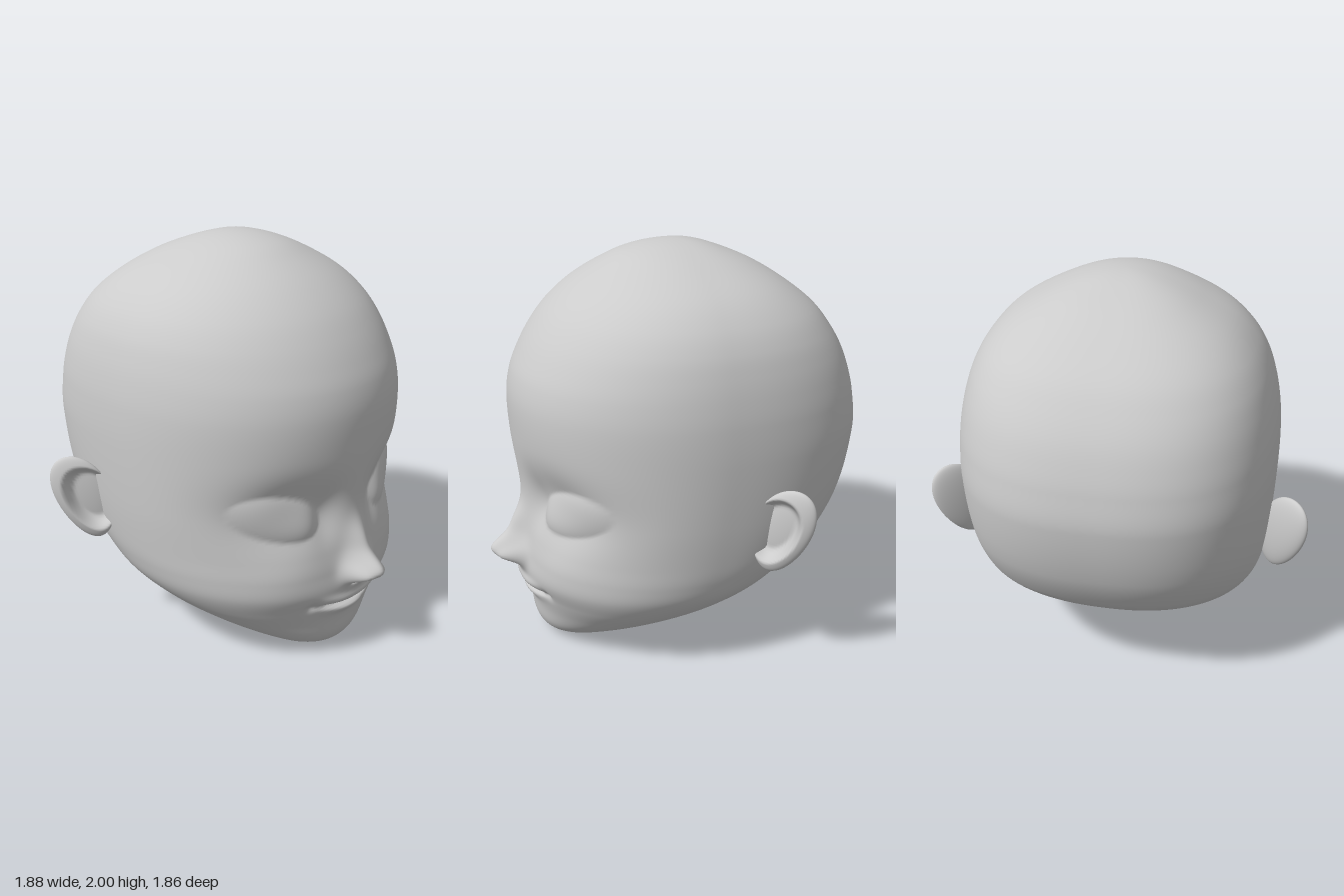
import * as THREE from 'three';
import { mergeVertices } from 'three/addons/utils/BufferGeometryUtils.js';

const material = new THREE.MeshStandardMaterial({ color: 0xcccccc });

// Skull sections: height, half width, front z, back z, z of the widest point
const SECTIONS = [
  [0, 0, 0.57, 0.57, 0.57],
  [0.02, 0.14, 0.65, 0.375, 0.53],
  [0.05, 0.23, 0.69, 0.19, 0.48],
  [0.1, 0.33, 0.715, 0, 0.4],
  [0.2, 0.49, 0.73, -0.25, 0.25],
  [0.3, 0.61, 0.755, -0.42, 0.15],
  [0.4, 0.69, 0.785, -0.55, 0.07],
  [0.5, 0.725, 0.775, -0.67, 0.03],
  [0.6, 0.742, 0.765, -0.765, 0],
  [0.8, 0.76, 0.768, -0.87, -0.02],
  [1.1, 0.77, 0.787, -0.93, -0.05],
  [1.28, 0.764, 0.79, -0.912, -0.05],
  [1.4, 0.748, 0.768, -0.88, -0.05],
  [1.5, 0.725, 0.725, -0.84, -0.05],
  [1.6, 0.69, 0.667, -0.78, -0.05],
  [1.7, 0.63, 0.59, -0.7, -0.05],
  [1.8, 0.53, 0.48, -0.575, -0.05],
  [1.9, 0.36, 0.325, -0.41, -0.05],
  [1.96, 0.22, 0.2, -0.26, -0.05],
  [2, 0, -0.05, -0.05, -0.05],
];

// Heights become angles, so both poles close round
const angle = (y) => Math.acos(THREE.MathUtils.clamp(1 - y, -1, 1));
const KEYS = SECTIONS.map((s) => angle(s[0]));

// Smooth (Hermite) interpolation of one column of the table
function sample(t, col) {
  const last = KEYS.length - 1;
  let i = 0;
  while (i < last - 1 && t > KEYS[i + 1]) i++;
  const value = (k) => SECTIONS[k][col];
  const slope = (k) => {
    const a = Math.max(k - 1, 0), b = Math.min(k + 1, last);
    return (value(b) - value(a)) / (KEYS[b] - KEYS[a]);
  };
  const h = KEYS[i + 1] - KEYS[i];
  const s = (t - KEYS[i]) / h, s2 = s * s, s3 = s2 * s;
  return value(i) * (2 * s3 - 3 * s2 + 1) + slope(i) * h * (s3 - 2 * s2 + s)
    + value(i + 1) * (3 * s2 - 2 * s3) + slope(i + 1) * h * (s3 - s2);
}

// Forward offset of the face at (x, y)
function faceRelief(x, y) {
  const ax = Math.sqrt(x * x + 0.0003);
  const bump = (cx, cy, sx, sy) => Math.exp(-(((ax - cx) / sx) ** 2) - ((y - cy) / sy) ** 2);
  const line = (offset, width) => Math.exp(-((offset / width) ** 2));

  // eye sockets with closed, slightly slanted lids
  let d = -0.08 * bump(0.36, 0.83, 0.23, 0.16) - 0.03 * bump(0.17, 0.78, 0.07, 0.13);
  const ex = ax - 0.385, ey = y - 0.81 - 0.22 * ex;
  d += 0.05 * Math.max(0, 1 - (ex / 0.2) ** 2 - (ey / 0.115) ** 2);

  // cheeks
  d += 0.02 * bump(0.4, 0.52, 0.18, 0.14);

  // nose: tip, bridge, wings, nostrils
  d += 0.147 * bump(0, 0.5, 0.075, 0.075) + 0.06 * bump(0, 0.62, 0.06, 0.1);
  d += 0.06 * bump(0.075, 0.475, 0.04, 0.045) - 0.06 * bump(0.05, 0.432, 0.022, 0.018);

  // mouth: upper lip, crease, lower lip, corners
  const my = y - 0.29 - 0.03 * (x / 0.24) ** 2;
  const span = Math.exp(-((x / 0.21) ** 4));
  d += 0.025 * line(my - 0.04, 0.03) * span - 0.04 * line(my, 0.014) * span;
  d += 0.022 * line(my + 0.035, 0.025) * line(x, 0.13);
  d -= 0.012 * bump(0.25, 0.325, 0.03, 0.03);
  return d;
}

function headGeometry() {
  const rings = 240, segs = 200, pos = [], index = [];
  for (let i = 0; i <= rings; i++) {
    const t = (i / rings) * Math.PI, y = 1 - Math.cos(t);
    const [w, front, back, mid] = [1, 2, 3, 4].map((col) => sample(t, col));
    const backPower = 2.2 + 0.4 * THREE.MathUtils.smoothstep(y, 0.2, 0.9);
    for (let j = 0; j < segs; j++) {
      // vertices crowd towards the face
      const u = (j / segs) * Math.PI * 2, a = u - 0.65 * Math.sin(u);
      const s = Math.sin(a), c = Math.cos(a);
      const n = c > 0 ? 2.05 : backPower;
      const r = (Math.abs(s) ** n + Math.abs(c) ** n) ** (-1 / n);
      const x = w * s * r;
      let z = mid + (c > 0 ? front - mid : mid - back) * c * r;
      if (c > 0) z += faceRelief(x, y) * THREE.MathUtils.smoothstep(z, 0.1, 0.4);
      pos.push(x, y, z);
      if (i < rings) {
        const k = (j + 1) % segs, p = i * segs + j, q = i * segs + k;
        index.push(p, q, q + segs, p, q + segs, p + segs);
      }
    }
  }
  let geo = new THREE.BufferGeometry();
  geo.setAttribute('position', new THREE.Float32BufferAttribute(pos, 3));
  geo.setIndex(index);
  geo = mergeVertices(geo, 1e-6);
  geo.computeVertexNormals();
  return geo;
}

// Flattened egg with a hollow front, side is +1 (left) or -1 (right)
function earGeometry(side) {
  let geo = new THREE.SphereGeometry(1, 64, 48);
  geo.deleteAttribute('uv');
  geo.deleteAttribute('normal');
  geo = mergeVertices(geo, 1e-5);
  const p = geo.attributes.position;
  for (let i = 0; i < p.count; i++) {
    const a = p.getX(i) * side, b = p.getY(i), c = p.getZ(i);
    const out = 0.03 + 0.14 * a * (1 + 0.15 * b) + 0.055 * b;
    let depth = 0.045 * c;
    if (c > 0) {
      const hollow = Math.max(0, 1 - (((a + 0.25) / 0.9) ** 2 + (b / 0.8) ** 2));
      depth -= 0.07 * THREE.MathUtils.smoothstep(hollow, 0, 0.6);
    }
    p.setXYZ(i, out * side, 0.215 * b, depth);
  }
  geo.computeVertexNormals();
  return geo;
}

export function createModel() {
  const model = new THREE.Group();
  model.name = 'head';

  const skull = new THREE.Mesh(headGeometry(), material);
  skull.name = 'skullAndFace';
  model.add(skull);

  // ears flare outward and back
  for (const side of [1, -1]) {
    const ear = new THREE.Mesh(earGeometry(side), material);
    ear.name = side > 0 ? 'leftEar' : 'rightEar';
    ear.position.set(0.8 * side, 0.775, -0.25);
    ear.rotation.y = 0.76 * side;
    model.add(ear);
  }
  return model;
}
